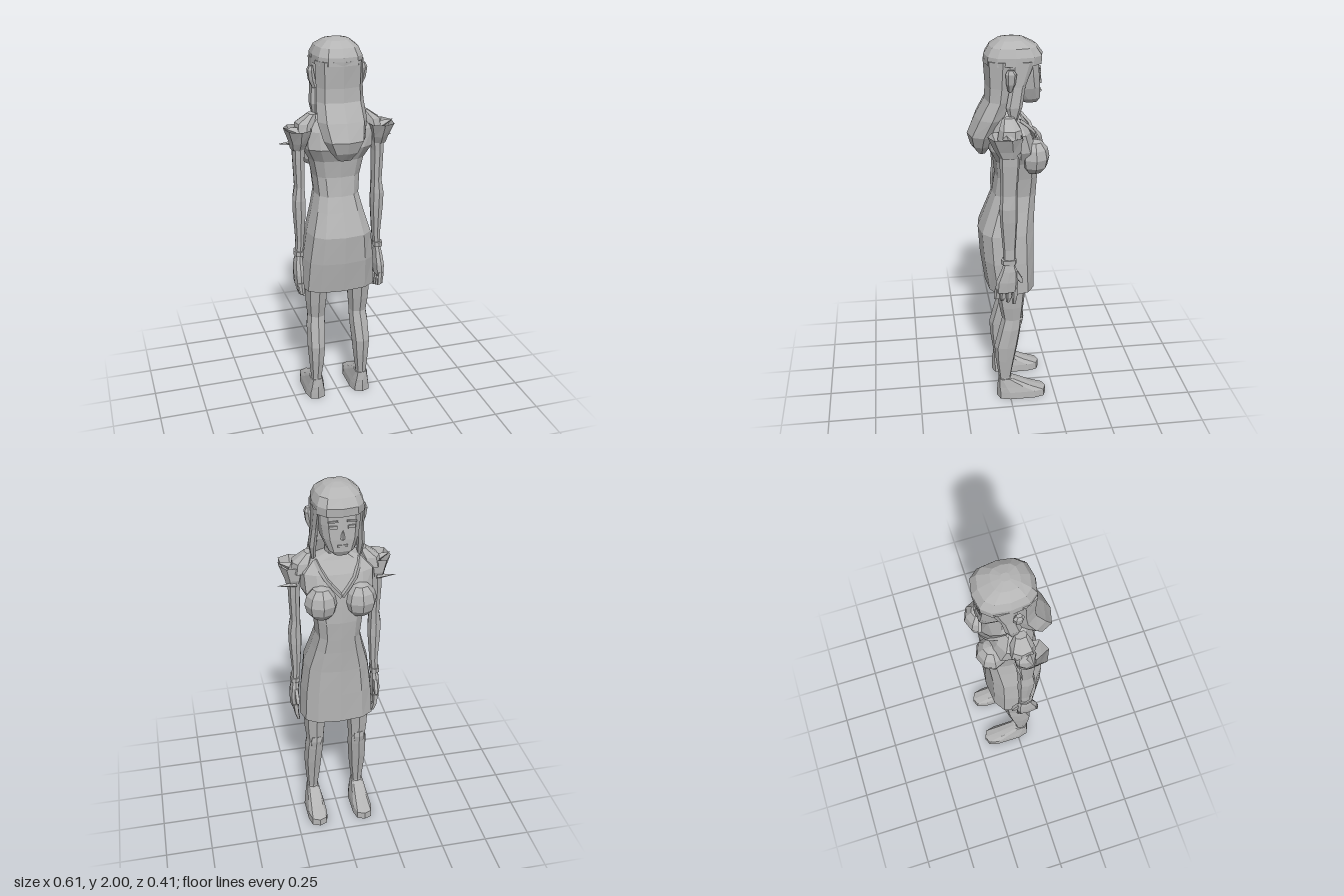
import * as THREE from 'three';

const grey = new THREE.MeshStandardMaterial({ color: 0xb4b4b4, flatShading: true, side: THREE.DoubleSide });

// Loft through level rings, listed bottom to top: [y, centre x, half width, front z, back z]
function loft(rings, sides = 10, power = 0.8, openTop = false) {
  const pos = [], idx = [];
  const bend = (v) => Math.sign(v) * Math.pow(Math.abs(v), power);
  for (const [y, cx, w, zf, zb] of rings) {
    for (let j = 0; j < sides; j++) {
      const a = (j / sides) * Math.PI * 2 + Math.PI / 2;
      pos.push(cx + w * bend(Math.cos(a)), y, (zf + zb) / 2 + ((zb - zf) / 2) * bend(Math.sin(a)));
    }
  }
  for (let i = 0; i < rings.length - 1; i++) {
    for (let j = 0; j < sides; j++) {
      const k = (j + 1) % sides;
      const a = i * sides + j, b = i * sides + k, c = a + sides, d = b + sides;
      idx.push(a, c, b, b, c, d);
    }
  }
  const cap = (i, top) => {
    const [y, cx, , zf, zb] = rings[i];
    const centre = pos.length / 3;
    pos.push(cx, y, (zf + zb) / 2);
    for (let j = 0; j < sides; j++) {
      const a = i * sides + j, b = i * sides + ((j + 1) % sides);
      idx.push(centre, top ? b : a, top ? a : b);
    }
  };
  cap(0, false);
  if (!openTop) cap(rings.length - 1, true);
  const g = new THREE.BufferGeometry();
  g.setAttribute('position', new THREE.Float32BufferAttribute(pos, 3));
  g.setIndex(idx);
  g.computeVertexNormals();
  return g;
}

export function createModel() {
  const model = new THREE.Group();
  const add = (name, geometry, x = 0, y = 0, z = 0) => {
    const m = new THREE.Mesh(geometry, grey);
    m.name = name;
    m.position.set(x, y, z);
    model.add(m);
    return m;
  };

  // Dress with shoulder yoke
  add('dress', loft([
    [0.68, 0, 0.2, -0.14, 0.12], [0.85, 0, 0.19, -0.14, 0.145], [1.0, 0, 0.17, -0.14, 0.155],
    [1.12, 0, 0.135, -0.145, 0.11], [1.2, 0, 0.115, -0.15, 0.08], [1.3, 0, 0.125, -0.155, 0.065],
    [1.39, 0, 0.145, -0.15, 0.075], [1.46, 0, 0.185, -0.145, 0.108], [1.55, 0, 0.19, -0.11, 0.09],
    [1.61, 0, 0.13, -0.07, 0.07], [1.64, 0, 0.06, -0.055, 0.055],
  ], 12, 0.72));

  // Neck, head and face
  add('neck', loft([[1.58, 0, 0.06, -0.06, 0.05], [1.76, 0, 0.05, -0.06, 0.05]], 8));
  add('head', loft([
    [1.675, 0, 0.035, -0.15, -0.08], [1.7, 0, 0.065, -0.164, -0.03], [1.76, 0, 0.092, -0.165, 0.05],
    [1.83, 0, 0.103, -0.16, 0.08], [1.9, 0, 0.103, -0.155, 0.08],
  ], 12, 0.65));
  const nose = add('nose', new THREE.ConeGeometry(0.015, 0.05, 4), 0, 1.79, -0.163);
  nose.rotation.x = -0.2;
  add('mouth', new THREE.BoxGeometry(0.05, 0.01, 0.008), 0, 1.732, -0.164);

  // Hair cap, fringe and the long fall behind
  add('hairCap', loft([
    [1.88, 0, 0.125, -0.172, 0.118], [1.92, 0, 0.123, -0.174, 0.115], [1.96, 0, 0.105, -0.145, 0.09],
    [1.99, 0, 0.065, -0.085, 0.045], [2.0, 0, 0.02, -0.04, 0],
  ], 12, 0.72));
  add('hairBack', loft([
    [1.415, 0, 0.035, 0.11, 0.15], [1.46, 0, 0.075, 0.08, 0.185], [1.52, 0, 0.108, 0.05, 0.203],
    [1.61, 0, 0.128, 0.01, 0.165], [1.7, 0, 0.122, -0.02, 0.115], [1.77, 0, 0.12, -0.03, 0.11],
    [1.9, 0, 0.124, -0.05, 0.119],
  ], 8, 0.85));

  for (const s of [1, -1]) {
    const side = s > 0 ? 'left' : 'right';
    const part = (name, rings, sides, power, open) => add(side + name,
      loft(rings.map(([y, x, ...r]) => [y, x * s, ...r]), sides, power, open));

    // Face details, ears and side locks
    const eye = add(side + 'Eye', new THREE.BoxGeometry(0.036, 0.014, 0.008), s * 0.043, 1.825, -0.157);
    const brow = add(side + 'Brow', new THREE.BoxGeometry(0.048, 0.008, 0.008), s * 0.045, 1.852, -0.156);
    eye.rotation.y = brow.rotation.y = s * -0.12;
    brow.rotation.z = s * -0.1;
    part('Ear', [[1.76, 0.115, 0.015, -0.01, 0.01], [1.8, 0.13, 0.018, -0.025, 0.02],
      [1.85, 0.138, 0.016, -0.03, 0.025], [1.87, 0.135, 0.01, -0.015, 0.015]], 6);
    part('SideLock', [[1.61, 0.115, 0.01, -0.035, 0], [1.68, 0.12, 0.018, -0.06, 0.02],
      [1.78, 0.112, 0.016, -0.075, 0], [1.9, 0.108, 0.017, -0.12, 0]], 6);

    // Bust and neckline edge
    const bust = add(side + 'Bust', new THREE.SphereGeometry(1, 8, 6), s * 0.098, 1.415, -0.125);
    bust.scale.set(0.084, 0.092, 0.077);
    add(side + 'Neckline', new THREE.TubeGeometry(new THREE.CatmullRomCurve3([
      new THREE.Vector3(s * 0.11, 1.61, -0.045), new THREE.Vector3(s * 0.075, 1.54, -0.118),
      new THREE.Vector3(0, 1.45, -0.15)]), 4, 0.012, 4));

    // Flared shoulder cup, cap and spikes
    part('Sleeve', [[1.46, 0.213, 0.035, -0.03, 0.065], [1.5, 0.212, 0.045, -0.045, 0.09],
      [1.57, 0.215, 0.07, -0.05, 0.122]], 7, 0.8, true);
    part('ShoulderCap', [[1.54, 0.18, 0.045, -0.06, 0.07], [1.59, 0.17, 0.05, -0.05, 0.06],
      [1.635, 0.135, 0.02, -0.02, 0.04]], 7);
    const spike = add(side + 'SleeveSpike', new THREE.ConeGeometry(0.016, 0.1, 4), s * 0.253, 1.477, -0.03);
    spike.rotation.z = -s * Math.PI / 2;
    const point = add(side + 'SleevePoint', new THREE.ConeGeometry(0.03, 0.09, 4), s * 0.245, 1.56, 0.03);
    point.rotation.z = -s * 1.2;

    // Arm, wrist band and hand
    part('Arm', [[0.87, 0.217, 0.02, -0.015, 0.045], [0.96, 0.21, 0.022, -0.018, 0.048],
      [1.12, 0.21, 0.034, -0.026, 0.062], [1.19, 0.211, 0.034, -0.025, 0.065],
      [1.26, 0.207, 0.026, -0.025, 0.058], [1.42, 0.21, 0.03, -0.035, 0.063],
      [1.53, 0.205, 0.035, -0.04, 0.065], [1.57, 0.19, 0.03, -0.025, 0.05]], 8);
    part('WristBand', [[0.88, 0.217, 0.026, -0.022, 0.058], [0.905, 0.217, 0.026, -0.022, 0.058]], 8);
    part('Hand', [[0.72, 0.222, 0.022, -0.025, 0.09], [0.78, 0.222, 0.026, -0.03, 0.085],
      [0.84, 0.22, 0.023, -0.025, 0.06], [0.88, 0.217, 0.017, -0.01, 0.045]], 8);
    for (let i = 0; i < 4; i++) {
      const z = -0.012 + i * 0.031, tip = 0.635 + i * 0.012;
      part('Finger', [[tip, 0.207, 0.008, z - 0.006, z + 0.012], [0.68, 0.217, 0.013, z - 0.015, z + 0.015],
        [0.74, 0.222, 0.016, z - 0.016, z + 0.011]], 5);
    }
    part('Thumb', [[0.765, 0.215, 0.01, -0.058, -0.04], [0.79, 0.215, 0.013, -0.055, -0.015],
      [0.84, 0.217, 0.012, -0.025, 0.01]], 5);

    // Leg with kneecap and calf
    part('Leg', [[0.06, 0.13, 0.032, -0.01, 0.06], [0.13, 0.13, 0.03, -0.005, 0.062],
      [0.24, 0.128, 0.042, -0.025, 0.078], [0.33, 0.127, 0.049, -0.043, 0.085],
      [0.44, 0.122, 0.052, -0.06, 0.058], [0.5, 0.118, 0.048, -0.066, 0.042],
      [0.58, 0.119, 0.056, -0.075, 0.058], [0.72, 0.117, 0.064, -0.09, 0.08]], 8);
    part('Kneecap', [[0.46, 0.122, 0.026, -0.066, -0.03], [0.5, 0.12, 0.032, -0.074, -0.03],
      [0.53, 0.12, 0.024, -0.072, -0.03]], 6);

    // Shoe with sloping instep
    part('Shoe', [[0, 0.13, 0.056, -0.202, 0.072], [0.04, 0.13, 0.053, -0.2, 0.072],
      [0.07, 0.13, 0.045, -0.12, 0.07], [0.12, 0.13, 0.034, -0.015, 0.064]], 10, 0.6);
  }
  return model;
}
